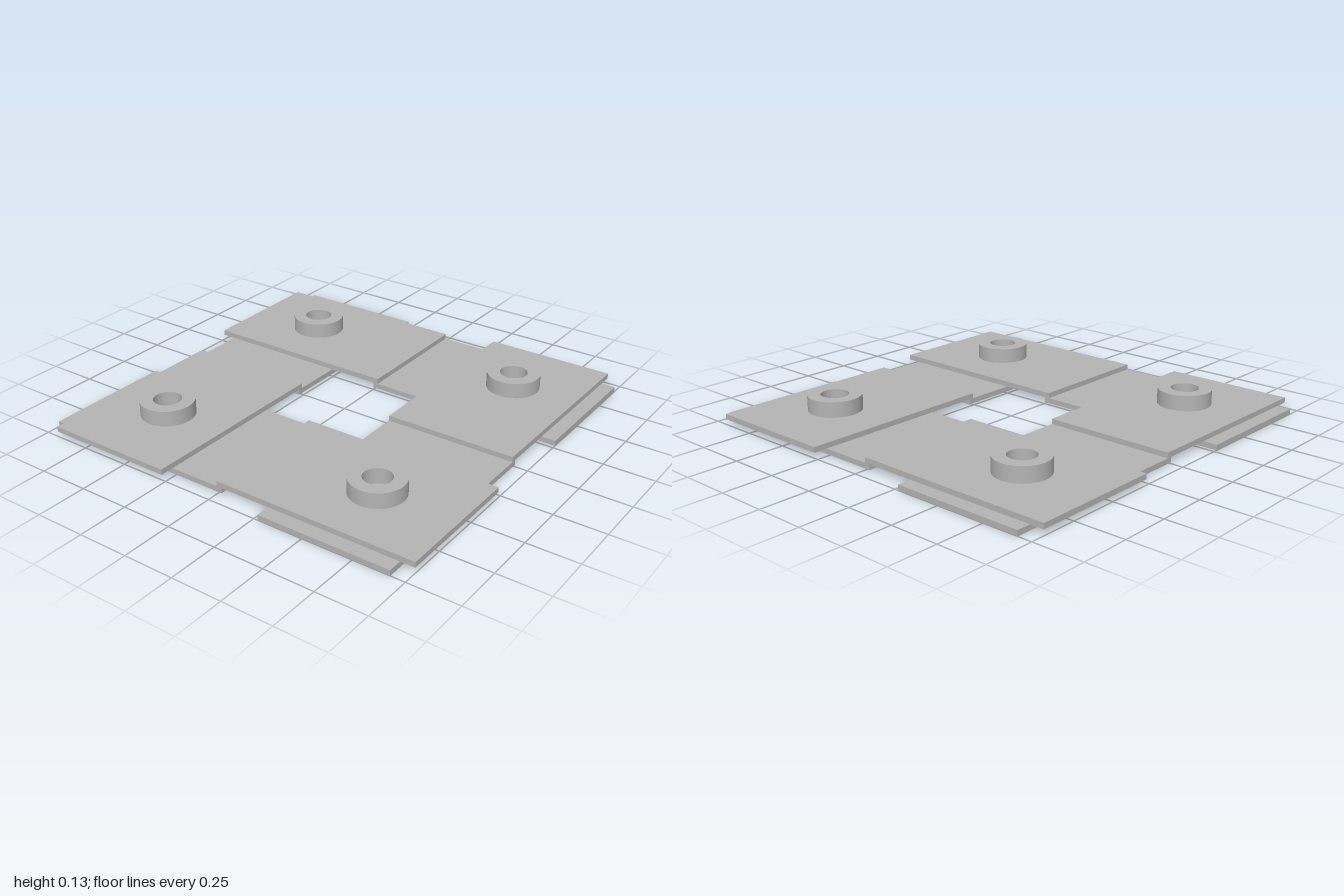
import * as THREE from 'three';
import { toCreasedNormals } from 'three/addons/utils/BufferGeometryUtils.js';

const T = 0.0265;          // plate thickness
const POST = 0.6;          // post distance from the centre lines
const IN = 0.27, OUT = 0.93; // plate strip edges

const grey = new THREE.MeshStandardMaterial({ color: 0xb4b4b4 });
grey.name = 'plain grey';

// Extrude a floor outline (x, z) upwards from y0
function slab(name, shape, y0, height) {
  const geo = new THREE.ExtrudeGeometry(shape, { depth: height, bevelEnabled: false, curveSegments: 32 });
  geo.rotateX(Math.PI / 2);               // shape y becomes z
  geo.translate(0, y0 + height, 0);
  const mesh = new THREE.Mesh(toCreasedNormals(geo, 0.6), grey);
  mesh.name = name;
  return mesh;
}

function addHole(shape, x, z, r) {
  shape.holes.push(new THREE.Path().absarc(x, z, r, 0, Math.PI * 2, true));
  return shape;
}

// Rectangular plate with a screw hole
function plate(name, x0, x1, z0, z1, y0) {
  const s = new THREE.Shape();
  s.moveTo(x0, z0).lineTo(x1, z0).lineTo(x1, z1).lineTo(x0, z1).closePath();
  return slab(name, addHole(s, POST, POST, 0.045), y0, T);
}

export function createModel() {
  const model = new THREE.Group();
  model.name = 'interlockedPlateFrame';

  // One corner: crossed plates and a ring post, repeated as a pinwheel
  for (let i = 0; i < 4; i++) {
    const corner = new THREE.Group();
    corner.name = 'corner' + (i + 1);

    corner.add(plate('upperPlate', -0.013, 1, IN, OUT, T));
    corner.add(plate('lowerPlate', IN, OUT, -0.013, 1, 0));

    const ring = new THREE.Shape();
    ring.absarc(POST, POST, 0.132, 0, Math.PI * 2, false);
    corner.add(slab('ringPost', addHole(ring, POST, POST, 0.068), 2 * T, 0.077));

    corner.rotation.y = i * Math.PI / 2;
    model.add(corner);
  }
  return model;
}
